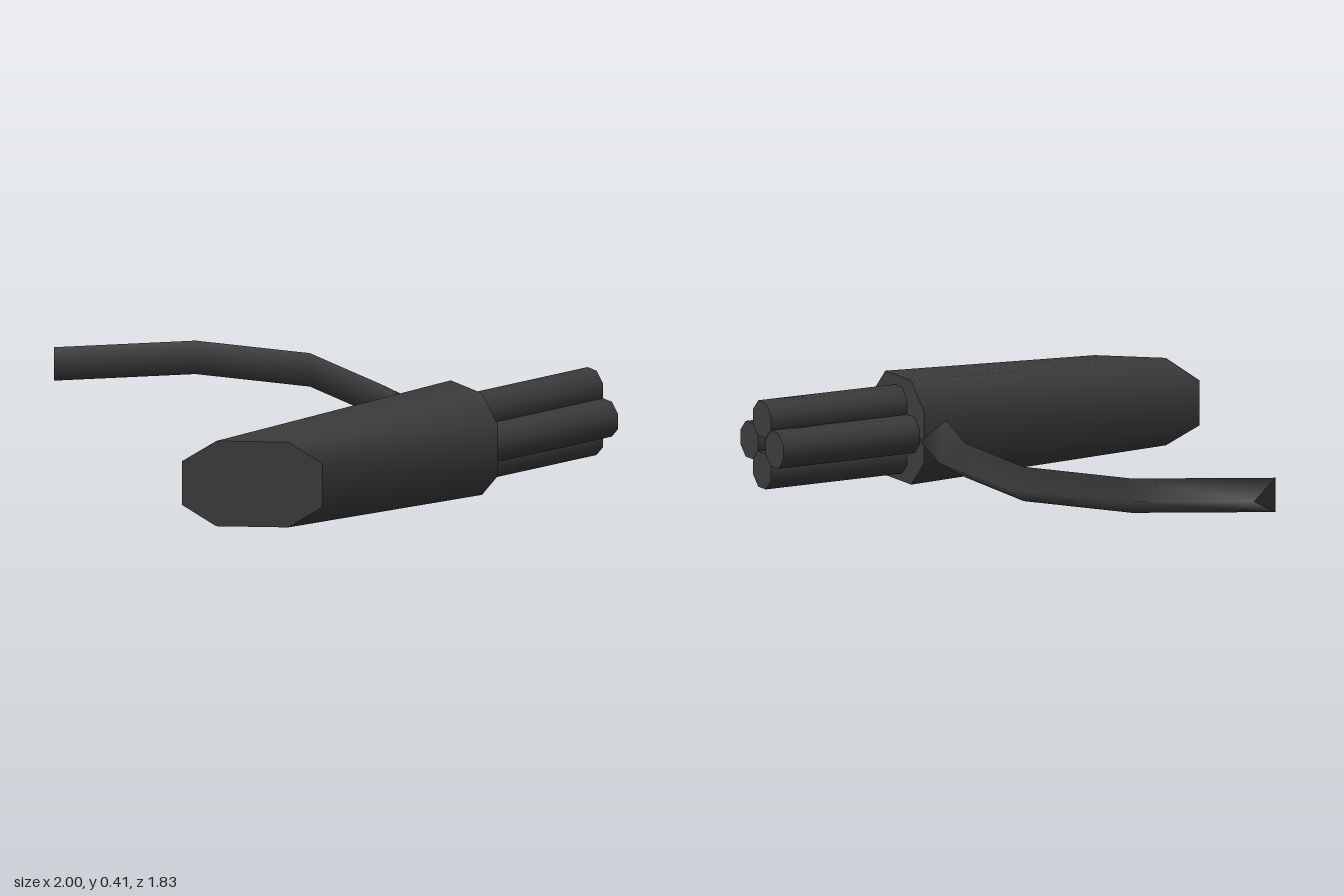
import * as THREE from 'three';

const material = new THREE.MeshStandardMaterial({ color: 0x3c3c3c });

// Skin a row of matching rings, smooth along the sides, with sharp flat caps.
function loft(name, rings) {
  const n = rings[0].length, last = rings.length - 1;
  const points = rings.flat(), index = [];
  for (let i = 0; i < last; i++) {
    for (let j = 0; j < n; j++) {
      const a = i * n + j, b = i * n + (j + 1) % n;
      index.push(a, b, b + n, a, b + n, a + n);
    }
  }
  for (const cap of [[...rings[0]].reverse(), rings[last]]) {
    const start = points.length;
    points.push(...cap);
    for (let j = 1; j < n - 1; j++) index.push(start, start + j, start + j + 1);
  }
  const geometry = new THREE.BufferGeometry();
  geometry.setAttribute('position', new THREE.Float32BufferAttribute(points.flat(), 3));
  geometry.setIndex(index);
  geometry.computeVertexNormals();
  const mesh = new THREE.Mesh(geometry, material);
  mesh.name = name;
  return mesh;
}

// Upright octagon with flat sides; depth gives z for each x.
function octagon(cx, cy, half, flat, depth) {
  return [[half, -flat], [half, flat], [flat, half], [-flat, half],
    [-half, flat], [-half, -flat], [-flat, -half], [flat, -half]]
    .map(([x, y]) => [cx + x, cy + y, depth(cx + x)]);
}

export function createModel() {
  const model = new THREE.Group();
  model.name = 'model';

  // Tapered eight-sided body with a slanted front
  model.add(loft('body', [
    octagon(0.795, 0.205, 0.205, 0.102, () => -0.32),
    octagon(0.792, 0.207, 0.172, 0.088, x => 0.91 - (x - 0.62) * 1.217),
  ]));

  // Four rear tubes in a cross
  const tube = new THREE.CylinderGeometry(0.0758, 0.0758, 0.63, 8);
  tube.rotateY(Math.PI / 8).rotateX(Math.PI / 2);
  const tubes = new THREE.Group();
  tubes.name = 'rearTubes';
  for (let i = 0; i < 4; i++) {
    const angle = i * Math.PI / 2;
    const mesh = new THREE.Mesh(tube, material);
    mesh.name = 'rearTube';
    mesh.position.set(0.795 + 0.1 * Math.cos(angle), 0.2 + 0.1 * Math.sin(angle), -0.605);
    tubes.add(mesh);
  }
  model.add(tubes);

  // Bent three-sided arm: outer ridge x, z then inner flat x, z
  const path = [
    [-1, 0.25, -0.935, 0.38],
    [-0.755, -0.2, -0.68, -0.11],
    [-0.32, -0.48, -0.29, -0.37],
    [0.2, -0.47, 0.2, -0.355],
    [0.63, -0.325, 0.63, -0.21],
  ];
  model.add(loft('arm', path.map(([ox, oz, ix, iz]) =>
    [[ox, 0.192, oz], [ix, 0.26, iz], [ix, 0.125, iz]])));

  return model;
}
